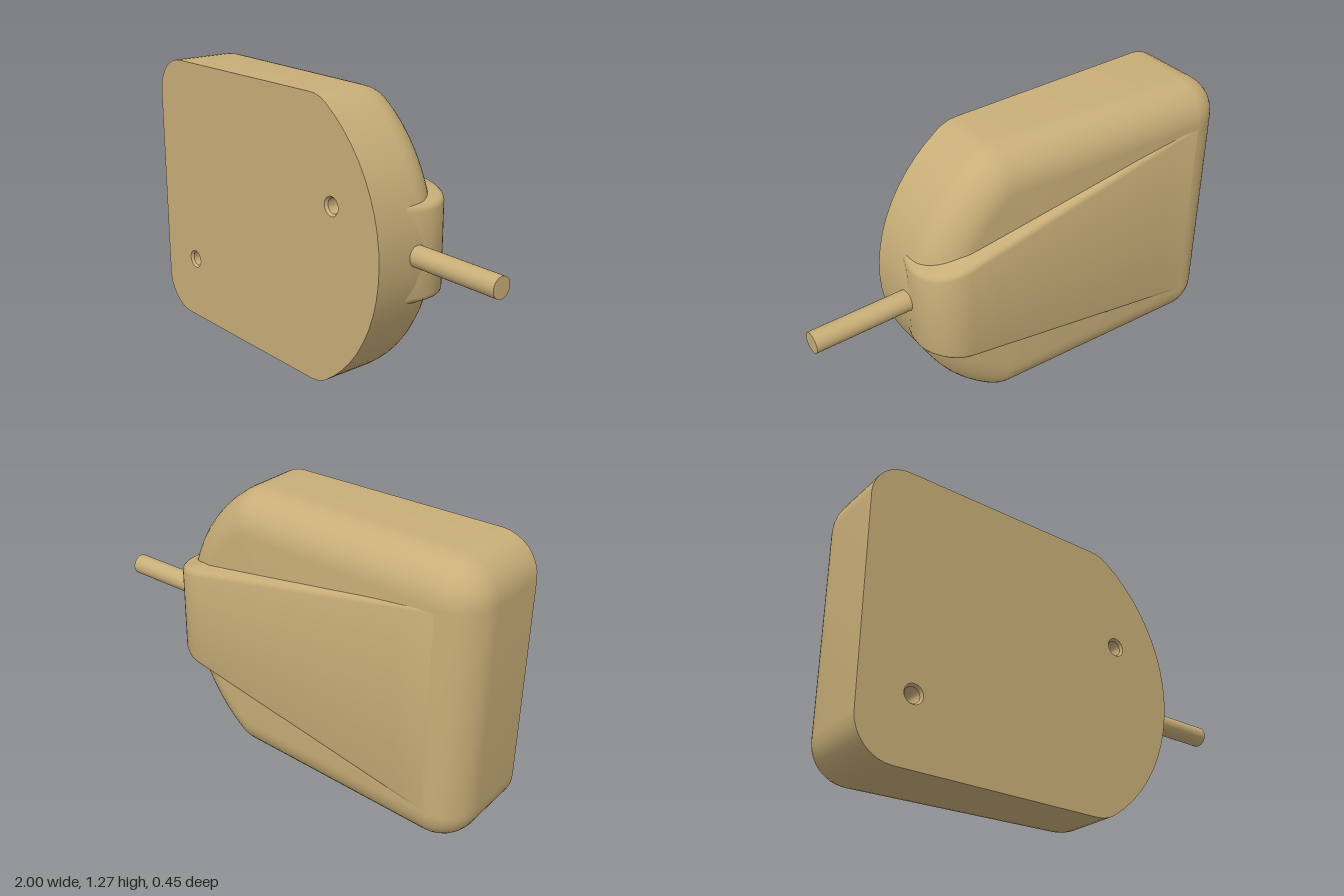
import * as THREE from 'three';
import { toCreasedNormals } from 'three/addons/utils/BufferGeometryUtils.js';

const FRONT = 0.23, BACK = -0.225, R = 0.17, MID = 0.635;
const HOLES = [[0.27, 0.82], [-0.76, 0.3]];
const HOLE_R = 0.043;

// Skin a list of equally long rows of points; optionally close each row and cap the last one
function skin(rows, closed, cap, crease) {
  const pos = [];
  const tri = (...pts) => pts.forEach(p => pos.push(...p));
  for (let r = 0; r < rows.length - 1; r++) {
    const n = rows[r].length;
    for (let i = 0; i < (closed ? n : n - 1); i++) {
      const j = (i + 1) % n;
      tri(rows[r + 1][i], rows[r + 1][j], rows[r][j]);
      tri(rows[r + 1][i], rows[r][j], rows[r][i]);
    }
  }
  if (cap) {
    const last = rows[rows.length - 1];
    last.forEach((p, i) => tri(cap, last[(i + 1) % last.length], p));
  }
  const g = new THREE.BufferGeometry();
  g.setAttribute('position', new THREE.Float32BufferAttribute(pos, 3));
  return toCreasedNormals(g, crease);
}

// Outline as core points with outward normals, anticlockwise from the front
function outline() {
  const pts = [];
  const arc = (cx, cy, radius, a0, a1, steps) => {
    for (let i = 0; i <= steps; i++) {
      const a = a0 + (a1 - a0) * i / steps;
      const nx = Math.cos(a), ny = Math.sin(a);
      pts.push({ x: cx + radius * nx, y: cy + radius * ny, nx, ny });
    }
  };
  const bow = Math.asin(0.465 / 0.556), h = Math.PI / 2;
  arc(-0.83, 1.1, 0, h, 2 * h, 8);
  arc(-0.83, R, 0, 2 * h, 3 * h, 8);
  arc(0.139, R, 0, -h, -bow, 3);
  arc(-0.166, MID, 0.556, -bow, bow, 20);
  arc(0.139, 1.1, 0, bow, h, 3);
  return pts;
}

export function createModel() {
  const group = new THREE.Group();
  const mat = new THREE.MeshStandardMaterial({ color: 0xc8ae78 });
  const inner = new THREE.MeshStandardMaterial({ color: 0xc8ae78, side: THREE.DoubleSide });
  const add = (name, geometry, material = mat) => {
    const m = new THREE.Mesh(geometry, material);
    m.name = name;
    group.add(m);
    return m;
  };

  // Housing: straight wall, then a full round into a gently sloping back
  const pts = outline();
  const slope = x => 0.049 * (x + 0.83);
  const rows = [pts.map(p => [p.x + R * p.nx, p.y + R * p.ny, FRONT])];
  for (let k = 0; k <= 10; k++) {
    const t = k / 10 * Math.PI / 2;
    rows.push(pts.map(p => [
      p.x + R * Math.cos(t) * p.nx,
      p.y + R * Math.cos(t) * p.ny,
      BACK + R + slope(p.x) - R * Math.sin(t)
    ]));
  }
  add('housing', skin(rows, true, [-0.2, MID, BACK + slope(-0.2)], 0.6));

  // Flat front plate with two screw holes
  const face = new THREE.Shape(pts.map(p => new THREE.Vector2(p.x + R * p.nx, p.y + R * p.ny)));
  for (const [x, y] of HOLES) {
    face.holes.push(new THREE.Path().absarc(x, y, HOLE_R, 0, Math.PI * 2, true));
  }
  add('frontPlate', new THREE.ShapeGeometry(face, 12).translate(0, 0, FRONT));

  // Blind screw holes with a conical bottom
  const bore = [[HOLE_R, 0], [0.034, -0.012], [0.034, -0.11], [0, -0.13]];
  for (const [x, y] of HOLES) {
    const g = new THREE.LatheGeometry(bore.map(b => new THREE.Vector2(...b)), 24);
    const hole = add('screwHole', toCreasedNormals(g.rotateX(Math.PI / 2), 0.4), inner);
    hole.position.set(x, y, FRONT);
  }

  // Tapering ridge on the back, wrapping around the cable end
  const path = [];
  for (let i = 0; i <= 8; i++) path.push([-0.83 + 1.22 * i / 8, BACK, 0, -1]);
  for (let i = 1; i <= 10; i++) {
    const a = i / 10 * Math.PI / 2;
    path.push([0.39 + R * Math.sin(a), BACK + R - R * Math.cos(a), Math.sin(a), -Math.cos(a)]);
  }
  path.push([0.555, 0.0, 1, 0], [0.535, 0.06, 1, 0]);
  // Cross-section half: offset from the half width, depth below the top
  const half = [[0.04, 0.14], [0.018, 0.08], [0.005, 0.045], [0, 0.028],
    [-0.004, 0.014], [-0.014, 0.004], [-0.028, 0]];
  const ridge = path.map(([x, z, nx, nz]) => {
    const w = 0.47 - 0.26 * (x + 0.83) / 1.39;
    const at = (s, [dy, d]) => [x - nx * d, MID + s * (w + dy), z - nz * d];
    return [...half.map(q => at(1, q)), ...[...half].reverse().map(q => at(-1, q))];
  });
  add('backRidge', skin(ridge, false, null, 0.7));

  // Cable stub
  const cable = new THREE.CylinderGeometry(0.047, 0.047, 0.5, 32).rotateZ(-Math.PI / 2);
  add('cable', cable).position.set(0.75, 0.637, 0.017);

  return group;
}
